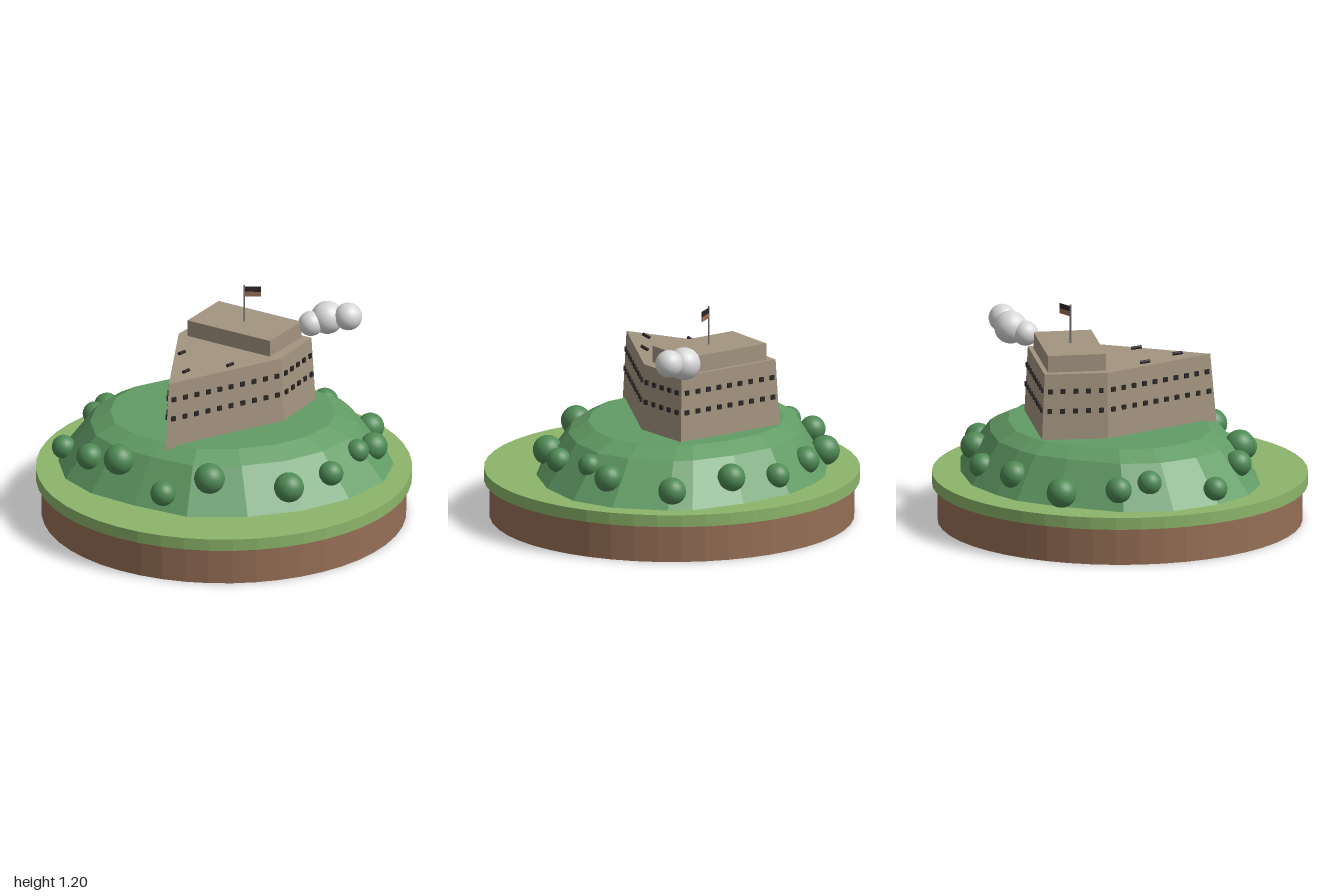
import * as THREE from 'three';

const mat = (name, color, extra = {}) => {
  const m = new THREE.MeshStandardMaterial({ color, ...extra });
  m.name = name;
  return m;
};

// Flat-faced solid from stacked rings of [x, y, z], counterclockwise seen from above, closed on top
function loft(rings) {
  const pos = [];
  const n = rings[0].length;
  for (let r = 0; r < rings.length - 1; r++) {
    for (let i = 0; i < n; i++) {
      const j = (i + 1) % n;
      const [a, b, c, d] = [rings[r][i], rings[r][j], rings[r + 1][j], rings[r + 1][i]];
      pos.push(...a, ...b, ...c, ...a, ...c, ...d);
    }
  }
  const top = rings[rings.length - 1];
  const centre = [0, 1, 2].map(k => top.reduce((s, p) => s + p[k], 0) / n);
  for (let i = 0; i < n; i++) pos.push(...centre, ...top[i], ...top[(i + 1) % n]);
  const g = new THREE.BufferGeometry();
  g.setAttribute('position', new THREE.Float32BufferAttribute(pos, 3));
  g.computeVertexNormals();
  return g;
}

export function createModel() {
  const model = new THREE.Group();
  model.name = 'hilltopFort';

  const soil = mat('soil brown', 0x966f56, { flatShading: true });
  const grass = mat('grass green', 0x8cb56a, { flatShading: true });
  const hillGreen = mat('hill green', 0x629c65, { flatShading: true });
  const bushGreen = mat('bush green', 0x4f8a55);
  const stone = mat('stone', 0xa39480, { flatShading: true });
  const dark = mat('dark openings', 0x2b2827);
  const metal = mat('pole grey', 0x77777a);
  const flagBrown = mat('flag brown', 0x9a6f55);
  const smokeWhite = mat('smoke white', 0xd8d8d8);

  const add = (name, geometry, material, x = 0, y = 0, z = 0, parent = model) => {
    const m = new THREE.Mesh(geometry, material);
    m.name = name;
    m.position.set(x, y, z);
    parent.add(m);
    return m;
  };
  const group = name => {
    const g = new THREE.Group();
    g.name = name;
    model.add(g);
    return g;
  };

  // Round base
  add('soilDisc', new THREE.CylinderGeometry(0.97, 0.97, 0.2, 48), soil, 0, 0.1, 0);
  add('grassDisc', new THREE.CylinderGeometry(1, 1, 0.065, 48), grass, 0, 0.2325, 0);

  // Irregular hill: foot outline shrinks towards a flat top set slightly back
  const foot = [
    [-0.25, -0.79], [-0.475, -0.745], [-0.69, -0.585], [-0.82, -0.34], [-0.86, -0.09],
    [-0.79, 0.14], [-0.62, 0.37], [-0.4, 0.6], [-0.09, 0.7], [0.22, 0.71],
    [0.5, 0.63], [0.745, 0.47], [0.87, 0.25], [0.905, -0.05], [0.885, -0.18],
    [0.73, -0.44], [0.52, -0.67], [0.3, -0.78], [0.14, -0.83], [-0.1, -0.82],
  ];
  const hillRing = (t, y) => foot.map(([x, z]) => [x * (1 - 0.33 * t), y, z * (1 - 0.33 * t) - 0.04 * t]);
  add('hill', loft([hillRing(0, 0.26), hillRing(0.62, 0.49), hillRing(1, 0.545)]), hillGreen);

  // Bushes on the slope: x, y, z, radius
  const bushes = [
    [-0.25, 0.44, 0.53, 0.082], [0.155, 0.385, 0.65, 0.08], [0.415, 0.4, 0.57, 0.066],
    [0.62, 0.43, 0.39, 0.062], [0.745, 0.395, 0.28, 0.075], [0.838, 0.355, -0.067, 0.074],
    [0.68, 0.395, -0.37, 0.075], [0.495, 0.36, -0.6, 0.067], [0.217, 0.375, -0.73, 0.074],
    [-0.125, 0.34, -0.805, 0.08], [-0.425, 0.375, -0.715, 0.07], [-0.535, 0.4, -0.58, 0.065],
    [-0.79, 0.345, -0.325, 0.064], [-0.745, 0.41, -0.015, 0.071], [-0.64, 0.455, 0.172, 0.082],
    [-0.49, 0.36, 0.468, 0.067],
  ];
  const bushGroup = group('bushes');
  for (const [x, y, z, r] of bushes) {
    add('bush', new THREE.SphereGeometry(r, 20, 14), bushGreen, x, y, z, bushGroup);
  }

  // Five-sided fort with walls leaning inwards
  const plan = [[-0.42, 0.295], [0.29, 0.14], [0.54, -0.09], [0.13, -0.585], [-0.15, -0.37]];
  const wallBase = 0.53, wallTop = 0.9;
  const wallRing = y => {
    const s = 1 - 0.05 * (y - wallBase) / (wallTop - wallBase);
    return plan.map(([x, z]) => [0.08 + (x - 0.08) * s, y, -0.13 + (z + 0.13) * s]);
  };
  add('fortWalls', loft([wallRing(wallBase), wallRing(wallTop)]), stone);

  // Two rows of windows round every wall
  const windows = group('windows');
  const windowShape = new THREE.BoxGeometry(0.025, 0.025, 0.02);
  for (const y of [0.7, 0.807]) {
    const ring = wallRing(y);
    ring.forEach(([x0, , z0], i) => {
      const [x1, , z1] = ring[(i + 1) % ring.length];
      const dx = x1 - x0, dz = z1 - z0;
      const count = Math.round(Math.hypot(dx, dz) / 0.07);
      for (let k = 0; k < count; k++) {
        const t = (k + 0.5) / count;
        const w = add('window', windowShape, dark, x0 + dx * t, y, z0 + dz * t, windows);
        w.rotation.y = Math.atan2(-dz, dx);
      }
    });
  }

  // Raised block on the roof
  const block = [[0.23, 0.085], [0.468, -0.115], [0.135, -0.515], [-0.103, -0.315]];
  add('upperBlock', loft([0.89, 0.99].map(y => block.map(([x, z]) => [x, y, z]))), stone);

  // Small gun barrels on the roof
  const guns = group('roofGuns');
  const axis = new THREE.Vector3(-0.75, 0.12, 0.62).normalize();
  for (const [x, z] of [[-0.208, -0.085], [-0.262, 0.158], [-0.013, 0.147]]) {
    const g = add('gunBarrel', new THREE.CylinderGeometry(0.009, 0.009, 0.055, 10), dark, x, 0.911, z, guns);
    g.quaternion.setFromUnitVectors(new THREE.Vector3(0, 1, 0), axis);
  }

  // Flagpole with a two-band flag
  add('flagPole', new THREE.CylinderGeometry(0.005, 0.005, 0.21, 8), metal, 0.18, 1.095, -0.21);
  const flag = group('flag');
  flag.position.set(0.183, 1.163, -0.209);
  flag.rotation.y = -0.33;
  add('flagUpperBand', new THREE.BoxGeometry(0.085, 0.027, 0.006), dark, 0.0425, 0.0135, 0, flag);
  add('flagLowerBand', new THREE.BoxGeometry(0.085, 0.027, 0.006), flagBrown, 0.0425, -0.0135, 0, flag);

  // Smoke puffs
  const smoke = group('smoke');
  for (const [x, y, z, r] of [[0.52, 0.975, -0.11, 0.067], [0.612, 0.997, -0.112, 0.088], [0.706, 1.02, -0.04, 0.074]]) {
    add('smokePuff', new THREE.SphereGeometry(r, 24, 16), smokeWhite, x, y, z, smoke);
  }

  return model;
}
